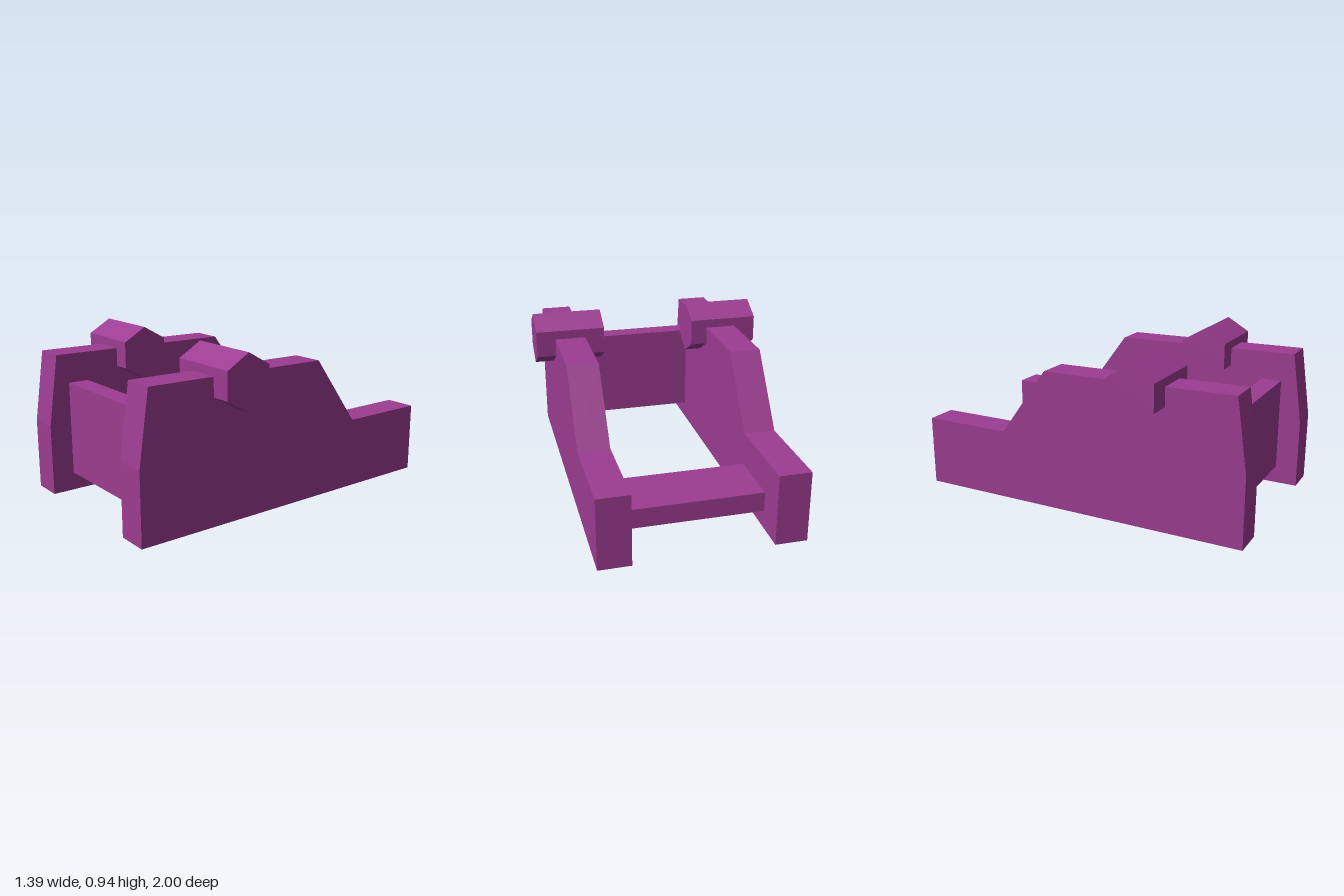
import * as THREE from 'three';

export function createModel() {
  const model = new THREE.Group();
  const purple = new THREE.MeshStandardMaterial({ color: 0x9c3c90, flatShading: true });
  purple.name = 'purple';

  function add(name, geometry, x, y, z) {
    const mesh = new THREE.Mesh(geometry, purple);
    mesh.name = name;
    mesh.position.set(x, y, z);
    model.add(mesh);
  }

  // Side plates: profile in (-z, y), extruded along x
  const profile = [
    [-1, 0], [1, 0], [1, 0.41], [0.47, 0.41], [0.18, 0.805], [-0.94, 0.82], [-1, 0.41],
  ].map(([a, b]) => new THREE.Vector2(a, b));
  const plate = new THREE.ExtrudeGeometry(new THREE.Shape(profile), { depth: 0.182, bevelEnabled: false });
  plate.rotateY(Math.PI / 2);
  add('leftSidePlate', plate, 0.398, 0, 0);
  add('rightSidePlate', plate, -0.562, 0, 0);

  // Cross members between the plates
  add('frontBoard', new THREE.BoxGeometry(0.778, 0.545, 0.12), 0.009, 0.3775, 0.81);
  add('rearCrossbar', new THREE.BoxGeometry(0.778, 0.113, 0.35), 0.009, 0.1615, -0.645);

  // Hexagonal pegs through the plates, with a corner pointing up
  const peg = new THREE.CylinderGeometry(0.156, 0.156, 0.415, 6);
  peg.rotateY(Math.PI / 2);
  peg.rotateZ(Math.PI / 2);
  add('leftPeg', peg, 0.487, 0.785, 0.415);
  add('rightPeg', peg, -0.487, 0.785, 0.415);

  return model;
}
